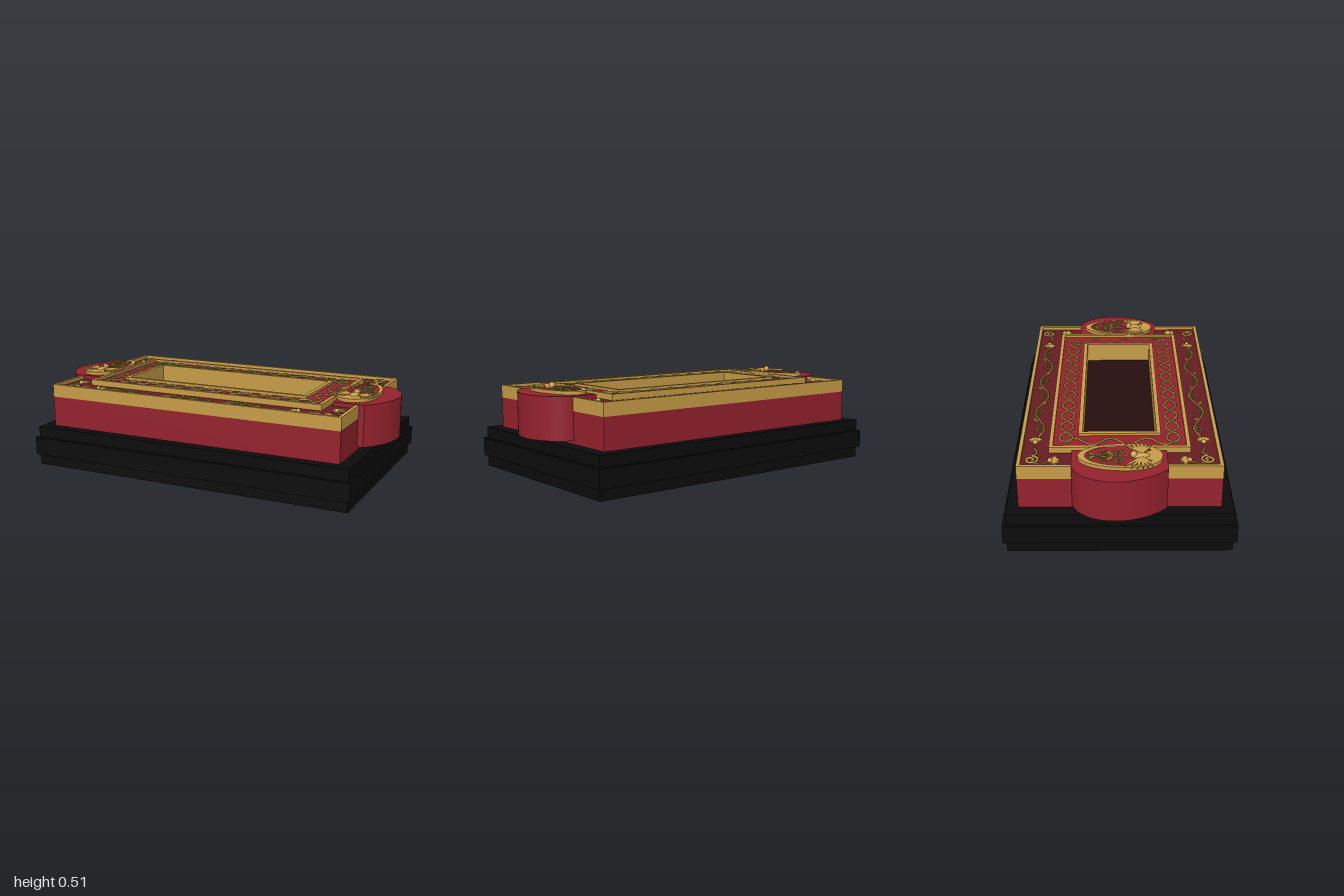
import * as THREE from 'three';

const paint = (name, hex) => {
  const m = new THREE.MeshStandardMaterial({ color: hex });
  m.name = name;
  return m;
};

export function createModel() {
  const black = paint('black', 0x0c0c0c);
  const red = paint('red', 0x96222e);
  const darkRed = paint('dark red', 0x671c22);
  const floorBrown = paint('dark brown', 0x260e0e);
  const gold = paint('gold', 0xc99d48);
  const olive = paint('olive gold', 0x9c8636);

  const model = new THREE.Group();
  model.name = 'ornateBox';

  const add = (name, geo, mat, parent = model, x = 0, y = 0, z = 0) => {
    const m = new THREE.Mesh(geo, mat);
    m.name = name;
    m.position.set(x, y, z);
    parent.add(m);
    return m;
  };
  const group = (name, parent = model) => {
    const g = new THREE.Group();
    g.name = name;
    parent.add(g);
    return g;
  };
  // Box given by half sizes and its bottom and top heights
  const slab = (name, hx, hz, y0, y1, mat) =>
    add(name, new THREE.BoxGeometry(2 * hx, y1 - y0, 2 * hz), mat, model, 0, (y0 + y1) / 2, 0);
  // Plan outline raised from y0 to y1 (shape y is -z)
  const raise = (name, shape, y0, y1, mat, parent = model) => {
    const geo = new THREE.ExtrudeGeometry(shape, { depth: y1 - y0, bevelEnabled: false, curveSegments: 20 });
    geo.rotateX(-Math.PI / 2);
    return add(name, geo, mat, parent, 0, y0, 0);
  };
  const rect = (Type, hx, hz) => new Type([[-hx, -hz], [hx, -hz], [hx, hz], [-hx, hz]].map(p => new THREE.Vector2(...p)));
  const ring = (name, ox, oz, ix, iz, y0, y1, mat) => {
    const s = rect(THREE.Shape, ox, oz);
    s.holes.push(rect(THREE.Path, ix, iz));
    return raise(name, s, y0, y1, mat);
  };
  // Thin raised cord through plan points [x, z]
  const cord = (name, pts, y, r, mat, parent) => {
    const curve = new THREE.CatmullRomCurve3(pts.map(p => new THREE.Vector3(p[0], y, p[1])));
    return add(name, new THREE.TubeGeometry(curve, pts.length * 2, r, 5), mat, parent);
  };
  const spiral = (cx, cz, r, start, turns, dir) => {
    const pts = [];
    for (let i = 0; i <= 14; i++) {
      const t = i / 14, a = start + dir * turns * Math.PI * 2 * t, q = r * (1 - 0.8 * t);
      pts.push([cx + q * Math.cos(a), cz + q * Math.sin(a)]);
    }
    return pts;
  };
  // Flat leaf or feather pointing along an angle in plan
  const leaf = (name, x, z, len, wid, angle, y, mat, parent) => {
    const s = new THREE.Shape();
    s.moveTo(0, 0);
    s.quadraticCurveTo(len * 0.6, wid, len, 0);
    s.quadraticCurveTo(len * 0.6, -wid, 0, 0);
    const geo = new THREE.ExtrudeGeometry(s, { depth: 0.008, bevelEnabled: false, curveSegments: 5 });
    geo.rotateX(-Math.PI / 2);
    const m = add(name, geo, mat, parent, x, y, z);
    m.rotation.y = -angle;
    return m;
  };

  // Plinth
  slab('plinth', 0.92, 0.567, 0, 0.222, black);
  slab('plinthBand', 0.935, 0.585, 0.06, 0.16, black);

  // Body with a sunken well
  ring('body', 0.853, 0.507, 0.55, 0.2, 0.222, 0.39, red);
  slab('wellFloor', 0.552, 0.202, 0.3, 0.365, floorBrown);

  // Stepped top panels and their gold borders
  ring('outerPanel', 0.845, 0.495, 0.68, 0.34, 0.39, 0.442, darkRed);
  ring('outerBorder', 0.855, 0.507, 0.836, 0.488, 0.39, 0.461, gold);
  ring('innerPanel', 0.685, 0.345, 0.55, 0.2, 0.39, 0.46, red);
  ring('middleBorder', 0.697, 0.356, 0.677, 0.336, 0.39, 0.474, gold);
  ring('wellBorder', 0.56, 0.212, 0.538, 0.19, 0.36, 0.474, gold);

  // Waves on the inner panel: crossing pairs on the long sides, single on the ends
  const waves = group('waveOrnament');
  for (const s of [-1, 1]) {
    for (const ph of [0, Math.PI]) {
      const pts = [];
      for (let i = 0; i <= 60; i++) {
        const x = -0.64 + 1.28 * i / 60;
        pts.push([x, s * (0.274 + 0.034 * Math.sin((x + 0.64) / 1.28 * Math.PI * 11 + ph))]);
      }
      cord('longWave', pts, 0.462, 0.0065, olive, waves);
    }
    const pts = [];
    for (let i = 0; i <= 32; i++) {
      const z = -0.29 + 0.58 * i / 32;
      pts.push([s * (0.62 + 0.03 * Math.sin(z * 34)), z]);
    }
    cord('endWave', pts, 0.462, 0.0065, olive, waves);
  }

  // Scrolling vines along the outer panel, with flowers and corner curls
  const vines = group('vineOrnament');
  const rosette = (x, z, angle) => {
    for (let k = -2; k <= 2; k++) leaf('petal', x, z, 0.05, 0.018, angle + k * 0.42, 0.442, gold, vines);
    add('flowerHeart', new THREE.SphereGeometry(0.014, 10, 6), gold, vines, x, 0.446, z);
  };
  for (const s of [-1, 1]) {
    const stem = [];
    for (let i = 0; i <= 50; i++) {
      const x = -0.55 + 1.1 * i / 50;
      stem.push([x, s * (0.424 + 0.03 * Math.sin(x * 17))]);
    }
    cord('vineStem', stem, 0.444, 0.0055, olive, vines);
    for (let i = 0; i < 6; i++) {
      const x = -0.46 + i * 0.185, d = i % 2 ? 1 : -1;
      cord('vineCurl', spiral(x, s * (0.424 + d * 0.012), 0.028, 0, 1.4, d), 0.444, 0.005, olive, vines);
      leaf('vineLeaf', x + 0.07, s * 0.43, 0.05, 0.018, d * 0.7, 0.442, olive, vines);
    }
    for (const e of [-1, 1]) {
      rosette(e * 0.6, s * 0.43, e > 0 ? Math.PI : 0);
      cord('cornerCurl', spiral(e * 0.765, s * 0.44, 0.038, 0, 1.5, e * s), 0.444, 0.007, gold, vines);
      cord('cornerStem', [[e * 0.73, s * 0.44], [e * 0.7, s * 0.415], [e * 0.655, s * 0.43]], 0.444, 0.006, olive, vines);
      rosette(e * 0.775, s * 0.345, -s * Math.PI / 2);
      cord('endStem', [[e * 0.775, s * 0.35], [e * 0.8, s * 0.375], [e * 0.8, s * 0.42]], 0.444, 0.005, olive, vines);
    }
  }

  // Egg-shaped medallion outline with a narrow far end
  const egg = (Type, k) => {
    const p = new Type();
    p.moveTo(0, 0.21 * k);
    p.bezierCurveTo(0.075 * k, 0.2 * k, 0.112 * k, 0.08 * k, 0.112 * k, -0.03 * k);
    p.bezierCurveTo(0.112 * k, -0.13 * k, 0.07 * k, -0.212 * k, 0, -0.212 * k);
    p.bezierCurveTo(-0.07 * k, -0.212 * k, -0.112 * k, -0.13 * k, -0.112 * k, -0.03 * k);
    p.bezierCurveTo(-0.112 * k, 0.08 * k, -0.075 * k, 0.2 * k, 0, 0.21 * k);
    return p;
  };

  for (const s of [-1, 1]) {
    // Rounded end bracket
    const side = s > 0 ? 'left' : 'right';
    const ear = new THREE.Shape();
    ear.moveTo(s * 0.715, -0.235);
    ear.lineTo(s * 0.885, -0.235);
    ear.bezierCurveTo(s * 0.955, -0.17, s * 1.0, -0.07, s * 1.0, 0.02);
    ear.bezierCurveTo(s * 1.0, 0.14, s * 0.93, 0.24, s * 0.83, 0.24);
    ear.lineTo(s * 0.715, 0.24);
    raise(side + 'Bracket', ear, 0.24, 0.465, red);

    // Medallion
    const med = group(side + 'Medallion');
    med.position.x = s * 0.79;
    raise('medallionField', egg(THREE.Shape, 0.9), 0.46, 0.476, red, med);
    const rim = egg(THREE.Shape, 1);
    rim.holes.push(egg(THREE.Path, 0.83));
    raise('medallionRim', rim, 0.464, 0.484, gold, med);

    // Vine inside the medallion
    cord('medallionStem', [[0, 0.06], [0.004, -0.03], [-0.004, -0.1], [0, -0.16]], 0.478, 0.005, olive, med);
    for (const e of [-1, 1]) {
      cord('medallionCurl', spiral(e * 0.045, -0.005, 0.026, Math.PI / 2, 1.4, e), 0.478, 0.005, olive, med);
      cord('medallionCurl', spiral(e * 0.032, -0.085, 0.022, Math.PI / 2, 1.4, e), 0.478, 0.0045, olive, med);
      leaf('medallionLeaf', 0, -0.12, 0.05, 0.016, -Math.PI / 2 + e * 0.7, 0.476, olive, med);
      leaf('medallionLeaf', 0, -0.03, 0.06, 0.018, -Math.PI / 2 + e * 0.9, 0.476, olive, med);
    }

    // Spread-winged bird on a stand
    const bird = group('bird', med);
    add('birdBody', new THREE.SphereGeometry(1, 16, 10), gold, bird, 0, 0.48, 0.105).scale.set(0.026, 0.016, 0.045);
    add('birdHead', new THREE.SphereGeometry(0.018, 14, 10), gold, bird, 0, 0.489, 0.068);
    for (const e of [-1, 1]) {
      for (let k = 0; k < 6; k++) {
        const up = -0.75 + k * 0.25;
        leaf('feather', e * 0.012, 0.11, 0.125 - 0.005 * k, 0.015, e > 0 ? up : Math.PI - up, 0.48, gold, bird);
      }
    }
    const stand = new THREE.Shape([[-0.035, -0.13], [-0.06, -0.185], [0.06, -0.185], [0.035, -0.13]]
      .map(p => new THREE.Vector2(...p)));
    raise('birdStand', stand, 0.474, 0.484, gold, bird);
  }

  return model;
}
